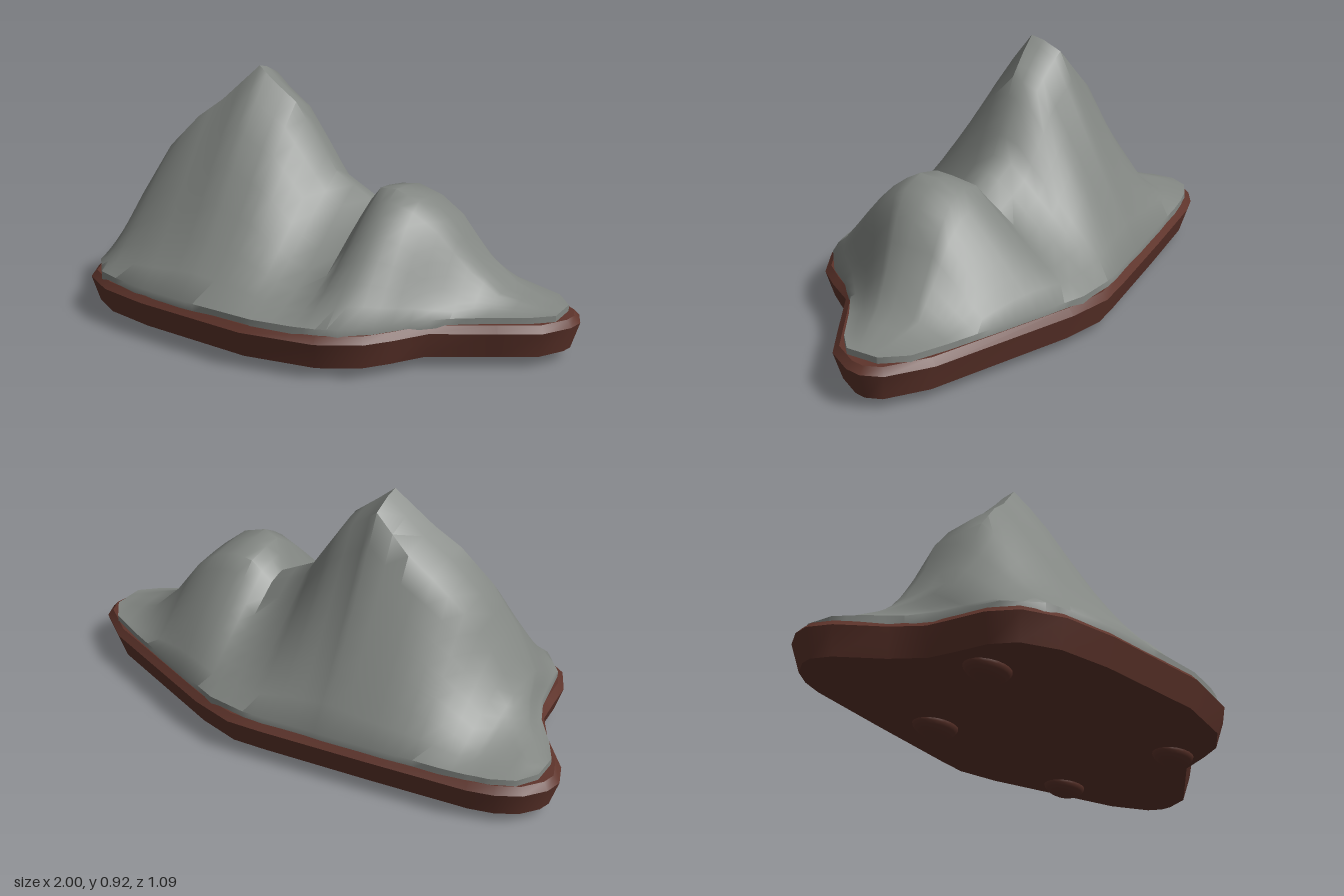
import * as THREE from 'three';
import { toCreasedNormals } from 'three/addons/utils/BufferGeometryUtils.js';

const RIM = 0.18; // height where the rock meets its short vertical rim

// Skins a grid of points: rows of equal length, optionally closed into loops.
function skin(rows, closed, crease) {
  const n = rows[0].length, index = [];
  for (let i = 0; i < rows.length - 1; i++) {
    for (let j = 0; j < (closed ? n : n - 1); j++) {
      const k = (j + 1) % n;
      const a = i * n + j, b = i * n + k, c = a + n, d = b + n;
      if (closed) index.push(a, c, b, b, c, d);
      else index.push(a, b, c, b, d, c);
    }
  }
  const g = new THREE.BufferGeometry();
  g.setAttribute('position', new THREE.Float32BufferAttribute(rows.flat(2), 3));
  g.setIndex(index);
  return toCreasedNormals(g, crease);
}

// Sections along x: [x, back edge z, back ridge z, front ridge z, ridge height, front edge z]
const SECTIONS = [
  [-0.945, -0.30, -0.26, -0.24, 0.18, -0.20],
  [-0.90, -0.37, -0.28, -0.22, 0.195, -0.12],
  [-0.82, -0.41, -0.20, -0.12, 0.225, -0.01],
  [-0.775, -0.42, -0.15, -0.03, 0.255, 0.10],
  [-0.74, -0.43, -0.08, 0.08, 0.30, 0.30],
  [-0.65, -0.445, -0.08, 0.10, 0.45, 0.405],
  [-0.56, -0.455, -0.12, 0.08, 0.60, 0.435],
  [-0.45, -0.47, -0.15, 0.05, 0.72, 0.465],
  [-0.36, -0.48, -0.16, 0.02, 0.79, 0.48],
  [-0.23, -0.495, -0.15, -0.03, 0.92, 0.495],
  [-0.17, -0.50, -0.14, -0.03, 0.87, 0.50],
  [-0.08, -0.51, -0.14, -0.04, 0.80, 0.505],
  [0.00, -0.52, -0.14, -0.05, 0.68, 0.51],
  [0.08, -0.525, -0.13, -0.06, 0.56, 0.515],
  [0.23, -0.51, -0.12, -0.05, 0.48, 0.495],
  [0.31, -0.48, -0.13, 0.03, 0.555, 0.475],
  [0.38, -0.455, -0.13, 0.05, 0.565, 0.445],
  [0.47, -0.42, -0.13, 0.05, 0.535, 0.37],
  [0.55, -0.39, -0.14, 0.03, 0.47, 0.26],
  [0.65, -0.35, -0.15, 0.00, 0.33, 0.16],
  [0.75, -0.31, -0.17, -0.03, 0.23, 0.09],
  [0.88, -0.25, -0.15, -0.07, 0.19, 0.01],
  [0.945, -0.17, -0.13, -0.10, 0.18, -0.05],
];

const bump = (x, centre, width) => Math.exp(-(((x - centre) / width) ** 2));

// One cross-section of the rock, from the back edge over the ridge to the front edge.
function rockSection([x, zb, rb, rf, h, zf]) {
  const steps = 7, rise = h - RIM, pts = [[x, 0.15, zb]];
  const back = 0.94, swell = -0.025 + 0.13 * bump(x, 0.42, 0.13) - 0.07 * bump(x, 0.17, 0.1);
  const swellBack = -0.015 + 0.05 * bump(x, 0.42, 0.15);
  for (let i = 0; i <= steps; i++) {
    const u = i / steps;
    pts.push([x, RIM + rise * back * (u + swellBack * Math.sin(Math.PI * u)), zb + (rb - zb) * u]);
  }
  pts.push([x, RIM + rise * 0.985, rb + (rf - rb) * 0.6]);
  for (let i = 0; i <= steps; i++) {
    const u = i / steps;
    const fall = 1 - u + swell * Math.sin(Math.PI * u) + 0.03 * Math.sin(2 * Math.PI * u);
    pts.push([x, RIM + rise * Math.min(1, fall), rf + (zf - rf) * u]);
  }
  pts.push([x, 0.15, zf]);
  return pts;
}

function rockGeometry() {
  const rows = [];
  SECTIONS.forEach((s, i) => {
    rows.push(rockSection(s));
    const next = SECTIONS[i + 1];
    if (next) rows.push(rockSection(s.map((v, k) => (v + next[k]) / 2)));
  });
  // close both tips down to the slab
  const drop = (row) => row.map(([x, , z]) => [x, 0.15, z]);
  return skin([drop(rows[0]), ...rows, drop(rows[rows.length - 1])], false, 0.8);
}

// Slab outline (x, z), clockwise seen from above
const OUTLINE = [
  [-1, -0.25], [-0.985, -0.31], [-0.93, -0.38], [-0.85, -0.425], [-0.76, -0.45], [-0.4, -0.495],
  [0, -0.54], [0.13, -0.55], [0.3, -0.51], [0.83, -0.31], [0.97, -0.21], [1, -0.14],
  [0.99, -0.08], [0.93, 0.02], [0.8, 0.1], [0.6, 0.22], [0.53, 0.33], [0.46, 0.42],
  [0.32, 0.5], [0.05, 0.54], [-0.4, 0.495], [-0.6, 0.45], [-0.73, 0.37], [-0.78, 0.27],
  [-0.79, 0.15], [-0.8, 0.06], [-0.86, -0.04], [-0.97, -0.17],
];

function slabGeometry() {
  const n = OUTLINE.length;
  const ring = (y, inset) => OUTLINE.map(([x, z], i) => {
    const p = OUTLINE[(i + n - 1) % n], q = OUTLINE[(i + 1) % n];
    const tx = q[0] - p[0], tz = q[1] - p[1], len = Math.hypot(tx, tz);
    return [x - (tz / len) * inset, y, z + (tx / len) * inset];
  });
  const centre = (y) => OUTLINE.map(() => [0, y, 0]);
  return skin([centre(0.04), ring(0.04, 0.03), ring(0.135, 0), ring(0.158, 0.022), centre(0.158)], true, 0.7);
}

export function createModel() {
  const rock = new THREE.MeshStandardMaterial({ color: 0x838783 });
  rock.name = 'grey rock';
  const brown = new THREE.MeshStandardMaterial({ color: 0x5e342b });
  brown.name = 'brown base';

  const model = new THREE.Group();
  model.name = 'mountainOnBase';
  const add = (name, geometry, material) => {
    const mesh = new THREE.Mesh(geometry, material);
    mesh.name = name;
    model.add(mesh);
    return mesh;
  };

  add('mountain', rockGeometry(), rock);
  add('baseSlab', slabGeometry(), brown);

  // Flattened round feet
  const foot = new THREE.SphereGeometry(1, 20, 12);
  for (const [x, z] of [[0.42, 0.23], [0.5, -0.3], [-0.6, 0.15], [-0.3, -0.3]]) {
    const mesh = add('foot', foot, brown);
    mesh.position.set(x, 0.043, z);
    mesh.scale.set(0.097, 0.043, 0.068);
  }
  return model;
}
